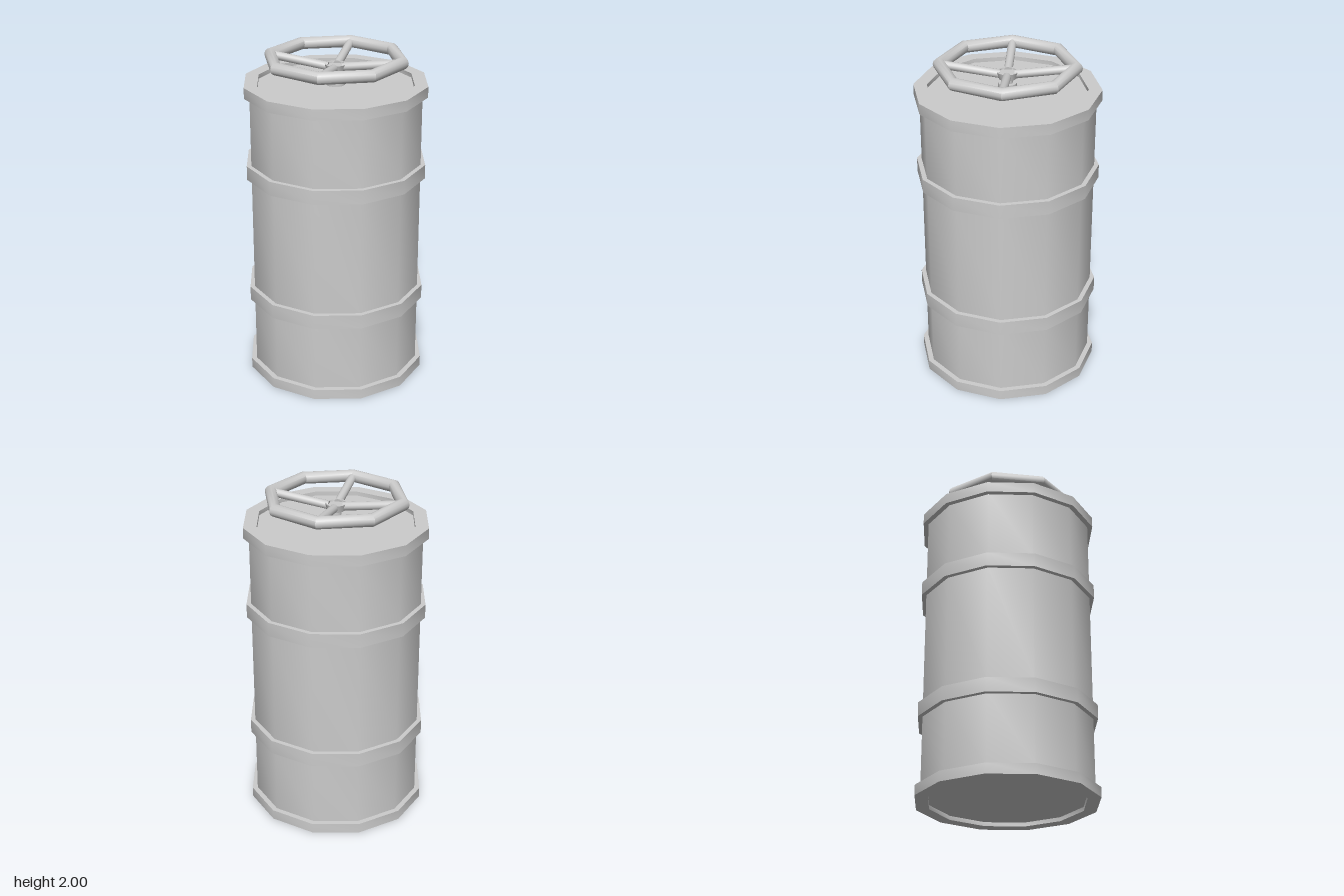
import * as THREE from 'three';
import { toCreasedNormals } from 'three/addons/utils/BufferGeometryUtils.js';

const CREASE = 0.7; // smooth round the sides, sharp at rims and corners

export function createModel() {
  const group = new THREE.Group();
  const material = new THREE.MeshStandardMaterial({ color: 0xcccccc });

  const add = (name, geometry, parent = group) => {
    const mesh = new THREE.Mesh(toCreasedNormals(geometry, CREASE), material);
    mesh.name = name;
    parent.add(mesh);
    return mesh;
  };
  const lathe = (points, sides) =>
    new THREE.LatheGeometry(points.map(([r, y]) => new THREE.Vector2(r, y)), sides);

  // Twelve-sided drum: rims, two hoops and sunken ends in one profile
  const rim = 0.547, hoop = 0.543, wall = 0.515, inner = 0.468;
  add('barrel', lathe([
    [0, 0.025], [inner, 0.025], [inner, 0], [rim, 0], [rim, 0.062], [wall, 0.062],
    [wall, 0.478], [hoop, 0.478], [hoop, 0.565], [wall, 0.565],
    [wall, 1.27], [hoop, 1.27], [hoop, 1.355], [wall, 1.355],
    [wall, 1.77], [rim, 1.77], [rim, 1.835], [inner, 1.835], [inner, 1.81], [0, 1.81],
  ], 12));

  // Valve stem: collar, neck and dished hub
  add('stem', lathe([
    [0.055, 1.81], [0.055, 1.865], [0.032, 1.865], [0.032, 1.888],
    [0.052, 1.892], [0.065, 1.935], [0.055, 1.935], [0.053, 1.925], [0, 1.925],
  ], 12));

  // Octagonal handwheel with four spokes rising to the rim
  const wheel = new THREE.Group();
  wheel.name = 'handwheel';
  group.add(wheel);
  add('wheelRim', new THREE.TorusGeometry(0.393, 0.037, 12, 8).rotateX(Math.PI / 2), wheel)
    .position.y = 1.963;

  const from = new THREE.Vector3(0.045, 1.917, 0);
  const to = new THREE.Vector3(0.385, 1.963, 0);
  const along = to.clone().sub(from);
  const turn = new THREE.Quaternion().setFromUnitVectors(
    new THREE.Vector3(0, 1, 0), along.clone().normalize());
  const middle = from.clone().add(to).multiplyScalar(0.5);
  for (let i = 0; i < 4; i++) {
    const spoke = new THREE.CylinderGeometry(0.025, 0.025, along.length(), 12)
      .applyQuaternion(turn)
      .translate(middle.x, middle.y, middle.z)
      .rotateY(i * Math.PI / 2);
    add('spoke', spoke, wheel);
  }
  return group;
}
